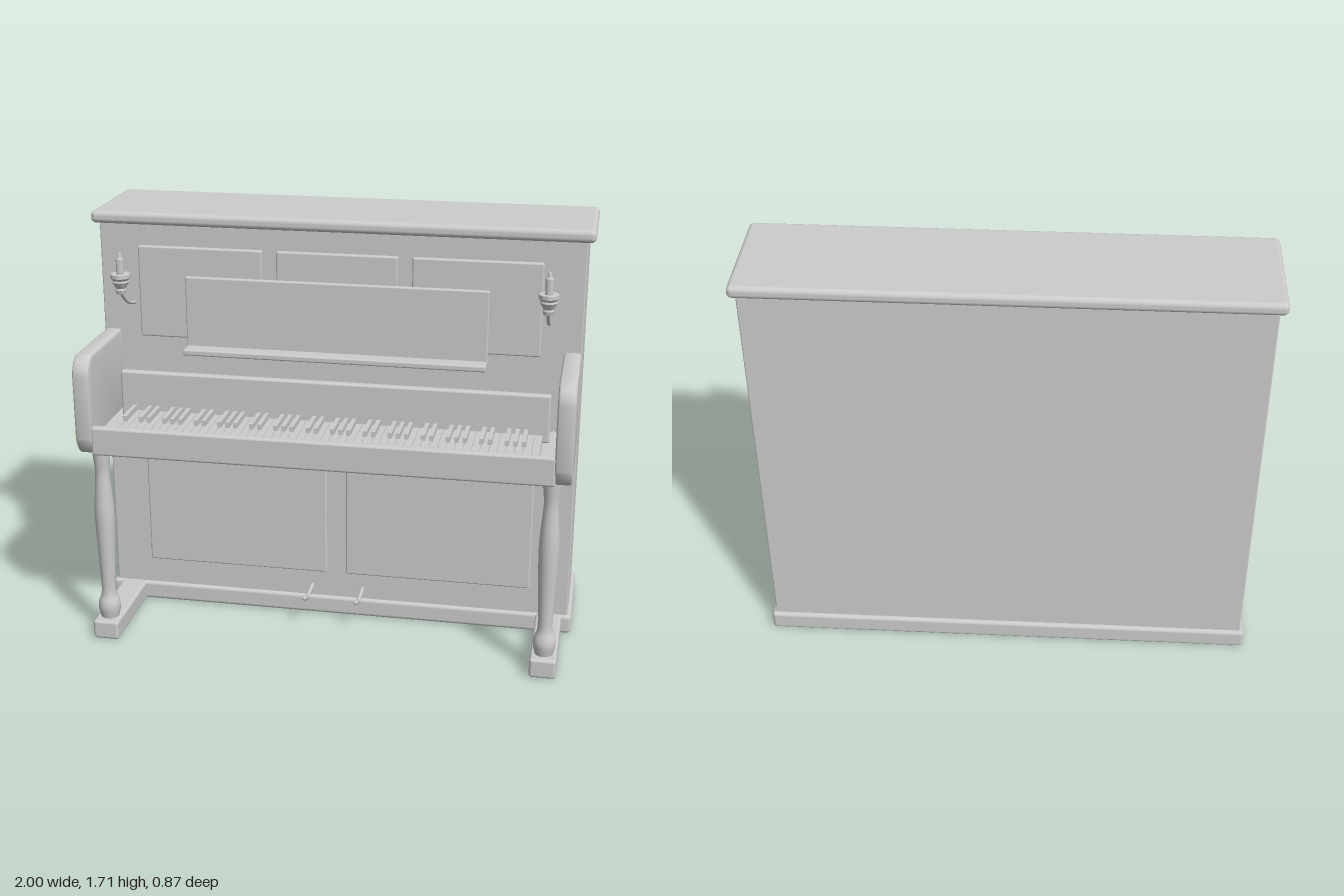
import * as THREE from 'three';
import { toCreasedNormals } from 'three/addons/utils/BufferGeometryUtils.js';
import { RoundedBoxGeometry } from 'three/addons/geometries/RoundedBoxGeometry.js';

const grey = new THREE.MeshStandardMaterial({ color: 0xcccccc });
grey.name = 'grey';

export function createModel() {
  const model = new THREE.Group();
  model.name = 'uprightPiano';

  const add = (name, geometry, parent = model) => {
    const mesh = new THREE.Mesh(geometry, grey);
    mesh.name = name;
    parent.add(mesh);
    return mesh;
  };
  // Box given by its limits on each axis; r rounds the edges
  const box = (name, [x0, x1], [y0, y1], [z0, z1], r = 0, parent = model) => {
    const size = [x1 - x0, y1 - y0, z1 - z0];
    const g = r ? new RoundedBoxGeometry(...size, 3, r) : new THREE.BoxGeometry(...size);
    const mesh = add(name, g, parent);
    mesh.position.set((x0 + x1) / 2, (y0 + y1) / 2, (z0 + z1) / 2);
    return mesh;
  };
  const lathe = (points, segments) => new THREE.LatheGeometry(
    points.map(([r, y]) => new THREE.Vector2(r, y)), segments);
  const tube = (points, radius) => new THREE.TubeGeometry(
    new THREE.CatmullRomCurve3(points.map(p => new THREE.Vector3(...p))), 16, radius, 10);

  // Case
  box('caseBody', [-0.97, 0.97], [0.06, 1.67], [-0.416, 0.012], 0.006);
  box('lid', [-1, 1], [1.655, 1.705], [-0.432, 0.037], 0.02);
  box('plinth', [-0.987, 0.987], [0, 0.08], [-0.432, 0.025], 0.015);

  // Raised front panels
  for (const [x0, x1] of [[-0.81, -0.3], [-0.243, 0.243], [0.3, 0.81]])
    box('upperPanel', [x0, x1], [1.195, 1.57], [0, 0.03], 0.007);
  for (const [x0, x1] of [[-0.81, -0.04], [0.04, 0.81]])
    box('lowerPanel', [x0, x1], [0.195, 0.745], [0, 0.03], 0.007);

  // Music desk
  box('musicDesk', [-0.607, 0.607], [1.165, 1.46], [0.045, 0.067], 0.006);
  box('musicLedge', [-0.607, 0.607], [1.152, 1.177], [0.005, 0.13], 0.007);

  // Keyboard shelf
  box('keybed', [-0.905, 0.905], [0.815, 0.885], [0, 0.42]);
  box('keySlip', [-0.905, 0.905], [0.815, 0.932], [0.392, 0.43], 0.01);
  box('fallboard', [-0.865, 0.865], [0.885, 1.08], [0.12, 0.155], 0.009);

  // 52 white keys starting on A, with sharps after A, C, D, F and G
  const keys = new THREE.Group();
  keys.name = 'keys';
  model.add(keys);
  const pitch = 1.68 / 52;
  for (let i = 0; i < 52; i++) {
    const x = -0.84 + i * pitch;
    box('whiteKey', [x + 0.001, x + pitch - 0.001], [0.88, 0.918], [0.15, 0.39], 0, keys);
    if (i < 51 && [0, 2, 3, 5, 6].includes(i % 7)) {
      const c = x + pitch;
      box('blackKey', [c - 0.008, c + 0.008], [0.91, 0.94], [0.15, 0.296], 0, keys);
    }
  }

  // Side profile of the keyboard arm, drawn with z to the right
  const b = 0.012;
  const armShape = new THREE.Shape();
  armShape.moveTo(0, 0.815 + b);
  armShape.lineTo(0.392, 0.815 + b);
  armShape.quadraticCurveTo(0.412, 0.845, 0.434 - b, 0.882);
  armShape.lineTo(0.434 - b, 1.14);
  armShape.quadraticCurveTo(0.418, 1.175, 0.38, 1.215 - b);
  armShape.lineTo(0, 1.215 - b);
  armShape.closePath();
  const armGeometry = toCreasedNormals(new THREE.ExtrudeGeometry(armShape, {
    depth: 0.068 - 2 * b, bevelThickness: b, bevelSize: b, bevelSegments: 4, curveSegments: 6,
  }).translate(0, 0, -(0.068 - 2 * b) / 2).rotateY(-Math.PI / 2), 0.6);
  // The turn maps profile x to +z and keeps y
  const legCurve = new THREE.SplineCurve([
    [0.036, 0.075], [0.045, 0.12], [0.042, 0.15], [0.03, 0.19], [0.031, 0.28], [0.037, 0.42],
    [0.04, 0.54], [0.034, 0.64], [0.029, 0.72], [0.034, 0.78], [0.037, 0.825],
  ].map(p => new THREE.Vector2(...p)));
  const legGeometry = new THREE.LatheGeometry(legCurve.getPoints(40), 24);
  const cupGeometry = toCreasedNormals(lathe([
    [0, 1.41], [0.018, 1.41], [0.022, 1.425], [0.019, 1.432], [0.034, 1.458],
    [0.031, 1.465], [0.039, 1.475], [0.039, 1.49], [0.028, 1.492], [0, 1.485],
  ], 24), 0.6);
  const candleGeometry = toCreasedNormals(lathe([
    [0.015, 1.485], [0.015, 1.55], [0.009, 1.555], [0.006, 1.572], [0, 1.576],
  ], 16), 0.6);

  // Parts on both sides
  for (const side of [-1, 1]) {
    add('keyboardArm', armGeometry).position.x = side * 0.934;
    const leg = add('frontLeg', legGeometry);
    leg.position.set(side * 0.893, 0, 0.353);
    box('foot', [side * 0.893 - 0.053, side * 0.893 + 0.053], [0, 0.08], [0, 0.42], 0.012);

    const sconce = new THREE.Group();
    sconce.name = 'candleSconce';
    sconce.position.set(side * 0.838, 0, 0.174);
    model.add(sconce);
    add('candleCup', cupGeometry, sconce);
    add('candle', candleGeometry, sconce);
    add('candleArm', tube([[0, 1.33, -0.166], [0, 1.34, -0.12], [0, 1.365, -0.06], [0, 1.412, 0]],
      0.007), sconce);

    // Pedal: a flattened curved bar with a rounded tip
    const pedal = new THREE.Group();
    pedal.name = 'pedal';
    pedal.position.x = side * 0.108;
    model.add(pedal);
    add('pedalBar', tube([[0, 0.124, 0.005], [0, 0.118, 0.09], [0, 0.122, 0.135], [0, 0.139, 0.176]],
      0.009), pedal);
    add('pedalTip', new THREE.SphereGeometry(0.009, 12, 8), pedal).position.set(0, 0.139, 0.176);
  }
  return model;
}
